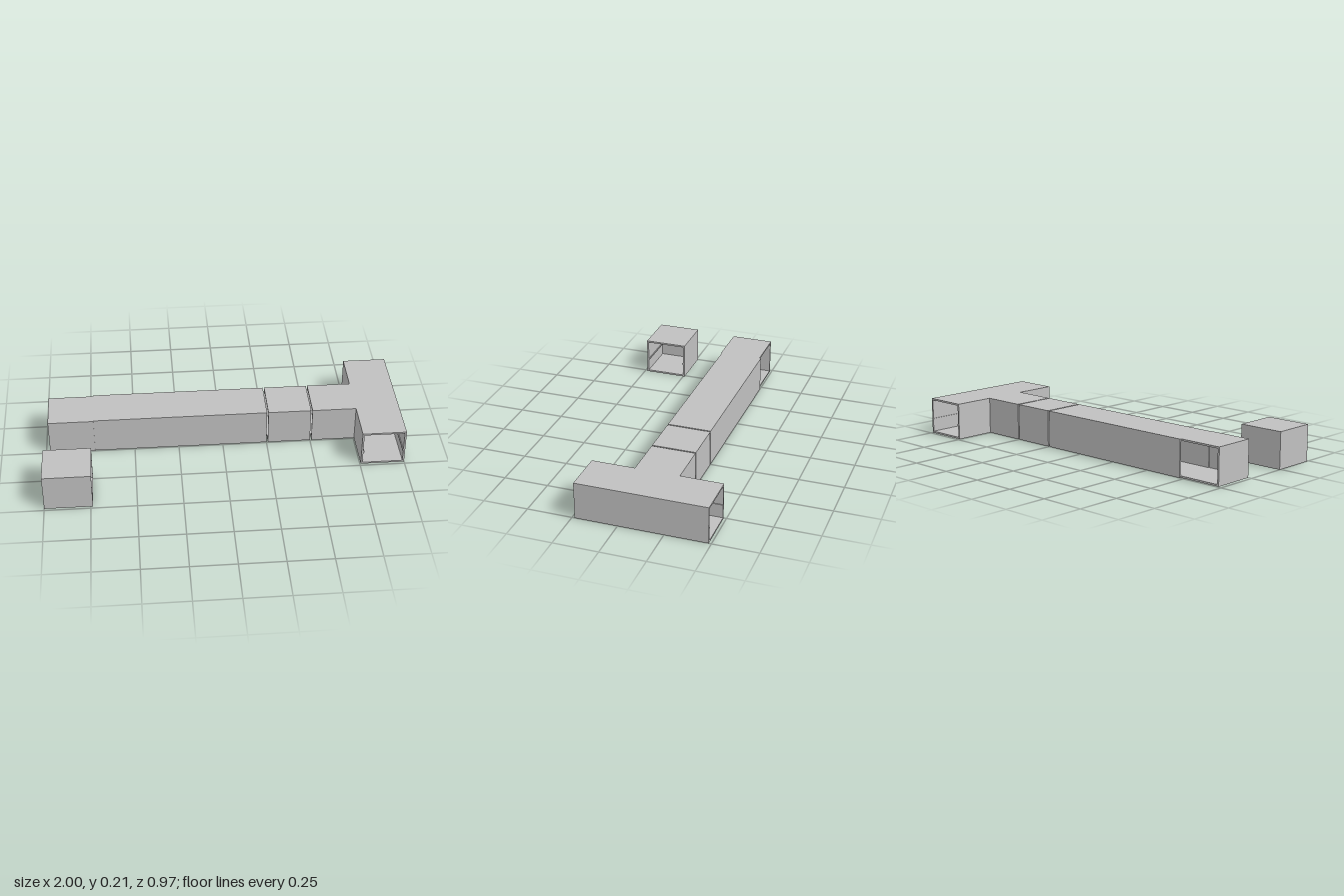
import * as THREE from 'three';

const H = 0.207; // duct height
const T = 0.01;  // sheet thickness

export function createModel() {
  const model = new THREE.Group();
  model.name = 'ductSections';
  const metal = new THREE.MeshStandardMaterial({ color: 0xc0c0c0 });
  metal.name = 'sheetGrey';

  // Box given by its extents
  const slab = (group, name, x0, x1, y0, y1, z0, z1) => {
    const mesh = new THREE.Mesh(new THREE.BoxGeometry(x1 - x0, y1 - y0, z1 - z0), metal);
    mesh.position.set((x0 + x1) / 2, (y0 + y1) / 2, (z0 + z1) / 2);
    mesh.name = name;
    group.add(mesh);
  };
  // Floor and ceiling sheets over a rectangle
  const plates = (g, x0, x1, z0, z1) => {
    slab(g, 'floor', x0, x1, 0, T, z0, z1);
    slab(g, 'ceiling', x0, x1, H - T, H, z0, z1);
  };
  // Upright wall between floor and ceiling
  const wall = (g, x0, x1, z0, z1) => slab(g, 'wall', x0, x1, T, H - T, z0, z1);
  // Narrow ridge on the inside of a wall
  const ridge = (g, x0, x1, z0, z1) => slab(g, 'ridge', x0, x1, 0.08, 0.088, z0, z1);
  const section = (name) => {
    const g = new THREE.Group();
    g.name = name;
    model.add(g);
    return g;
  };

  // Straight ducts, open at both ends
  const zBack = -0.25, zFront = -0.005;
  for (const [name, x0, x1] of [['longDuct', -0.725, 0.25], ['shortDuct', 0.258, 0.5]]) {
    const g = section(name);
    plates(g, x0, x1, zBack, zFront);
    wall(g, x0, x1, zBack, zBack + T);
    wall(g, x0, x1, zFront - T, zFront);
  }

  // Tee: cross duct open at front and back, stem open towards the straight ducts
  const tee = section('teeDuct');
  plates(tee, 0.755, 1, -0.486, 0.235);
  plates(tee, 0.508, 0.755, zBack, zFront);
  wall(tee, 1 - T, 1, -0.486, 0.235);
  wall(tee, 0.755, 0.755 + T, -0.486, zBack + T);
  wall(tee, 0.755, 0.755 + T, zFront - T, 0.235);
  wall(tee, 0.508, 0.755, zBack, zBack + T);
  wall(tee, 0.508, 0.755, zFront - T, zFront);
  ridge(tee, 0.985, 0.99, -0.486, 0.235);
  ridge(tee, 0.765, 0.77, zFront, 0.235);
  ridge(tee, 0.765, 0.77, -0.486, zBack);

  // Elbow: open at the back and towards the long duct
  const elbow = section('elbowDuct');
  plates(elbow, -0.978, -0.725, -0.241, 0);
  wall(elbow, -0.978, -0.978 + T, -0.241, 0);
  wall(elbow, -0.978 + T, -0.725, -T, 0);

  // End cap: open on one side only
  const cap = section('endCap');
  plates(cap, -1, -0.738, 0.241, 0.486);
  wall(cap, -1, -1 + T, 0.241, 0.486);
  wall(cap, -1 + T, -0.738, 0.241, 0.241 + T);
  wall(cap, -1 + T, -0.738, 0.486 - T, 0.486);
  ridge(cap, -0.99, -0.738, 0.251, 0.256);
  ridge(cap, -0.99, -0.738, 0.471, 0.476);

  return model;
}
